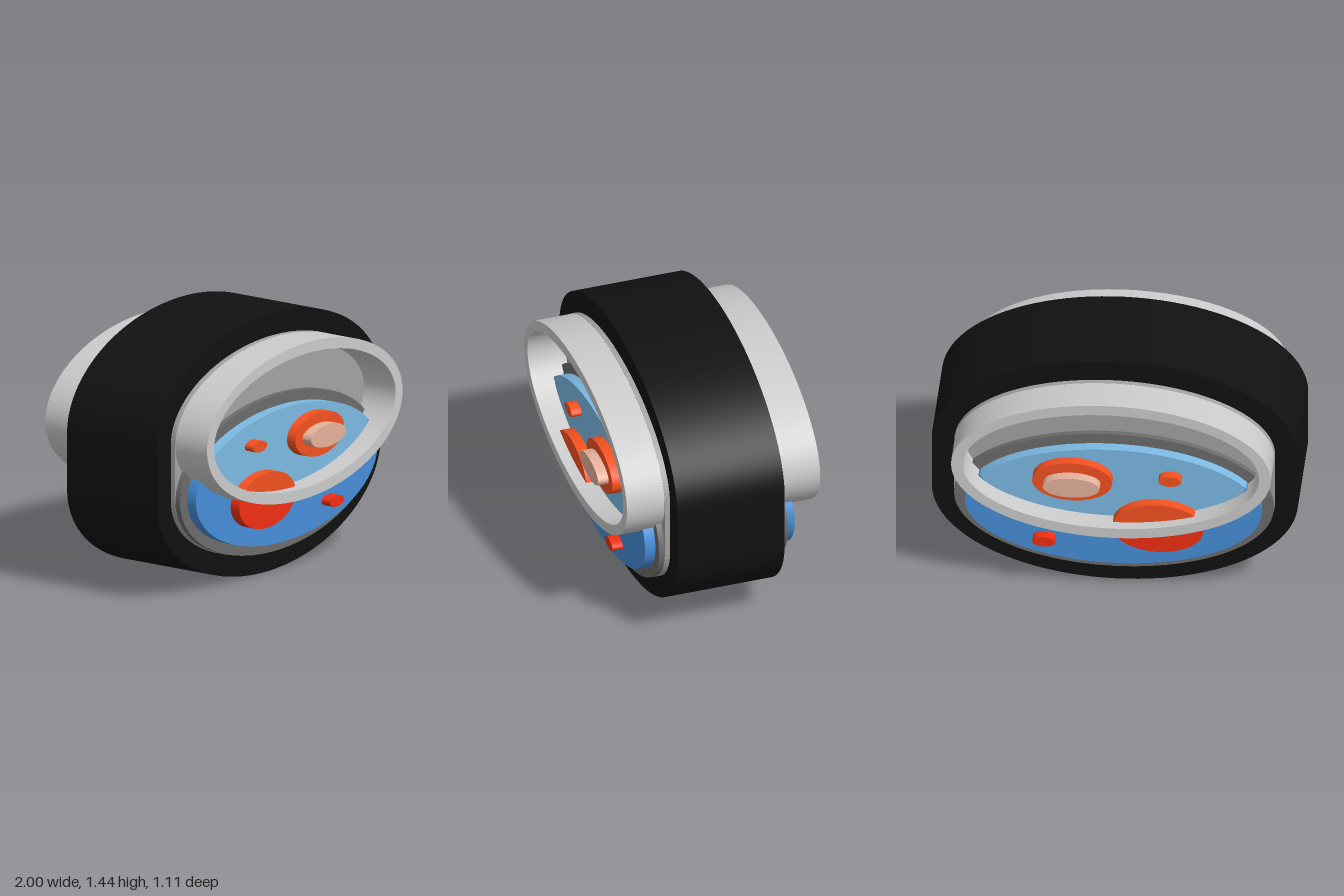
import * as THREE from 'three';
import { toCreasedNormals } from 'three/addons/utils/BufferGeometryUtils.js';

const LOW = 0.5625, HIGH = 0.8775; // centre heights of the lower and upper ovals
const SEG = 96;

// Points of an oval, optionally only an arc of it
function oval(cx, cy, rx, ry, from = 0, to = Math.PI * 2, n = SEG) {
  const pts = [];
  for (let i = 0; i <= n; i++) {
    const a = from + (to - from) * i / n;
    pts.push(new THREE.Vector2(cx + rx * Math.cos(a), cy + ry * Math.sin(a)));
  }
  if (to - from > 6.28) pts.pop();
  return pts;
}

// Two half ovals joined by straight sides
function stretchedOval(rx, ry) {
  return [
    ...oval(0, HIGH, rx, ry, 0, Math.PI, SEG / 2),
    ...oval(0, LOW, rx, ry, Math.PI, Math.PI * 2, SEG / 2),
  ];
}

// Part of an oval that lies inside the opening of the collar
function insideCollar(cx, cy, rx, ry) {
  const lower = x => HIGH - 0.375 * Math.sqrt(Math.max(0, 1 - (x / 0.81) ** 2));
  const kept = oval(cx, cy, rx, ry, -Math.PI / 2, Math.PI * 1.5, 192)
    .filter(p => p.y > lower(p.x) + 0.0005);
  const x0 = kept[kept.length - 1].x, x1 = kept[0].x;
  for (let i = 1; i < 48; i++) {
    const x = x0 + (x1 - x0) * i / 48;
    kept.push(new THREE.Vector2(x, lower(x)));
  }
  return kept;
}

export function createModel() {
  const group = new THREE.Group();

  // Slab through the model, reaching the same depth at front and back
  function slab(name, color, halfDepth, outline, hole) {
    const shape = new THREE.Shape(outline);
    if (hole) shape.holes.push(new THREE.Path(hole));
    const geometry = new THREE.ExtrudeGeometry(shape, { depth: halfDepth * 2, bevelEnabled: false });
    geometry.translate(0, 0, -halfDepth);
    const mesh = new THREE.Mesh(
      toCreasedNormals(geometry, 0.6),
      new THREE.MeshStandardMaterial({ color }),
    );
    mesh.name = name;
    group.add(mesh);
  }

  // Black body and the grey plate showing on both faces
  slab('body', 0x111111, 0.308, stretchedOval(1, 0.5625));
  slab('facePlate', 0xa3a3a3, 0.338, stretchedOval(0.875, 0.4375));

  // Raised collar
  slab('collar', 0xcccccc, 0.555, oval(0, HIGH, 0.873, 0.4365), oval(0, HIGH, 0.81, 0.375));

  // Lower disc with its dark rim; the area within the collar is paler
  slab('discRim', 0x6c6c6c, 0.37, oval(0, LOW, 0.873, 0.4365));
  slab('disc', 0x478ed9, 0.43, oval(0, LOW, 0.81, 0.375));
  slab('paleDisc', 0x7cbae4, 0.432, insideCollar(0, LOW, 0.81, 0.375));

  // Spots on the disc
  slab('largeSpot', 0xf22e12, 0.49, oval(-0.25, 0.473, 0.25, 0.155));
  slab('largeSpotPale', 0xf55120, 0.492, insideCollar(-0.25, 0.473, 0.25, 0.155));
  slab('lowerSmallSpot', 0xf22e12, 0.49, oval(0.373, 0.345, 0.063, 0.031));
  slab('upperSmallSpot', 0xf55120, 0.49, oval(-0.315, 0.785, 0.062, 0.031));
  slab('ringSpot', 0xf55120, 0.49, oval(0.218, 0.753, 0.218, 0.122));
  slab('ringSpotCentre', 0xe6b29c, 0.55, oval(0.218, 0.753, 0.155, 0.062));

  return group;
}
